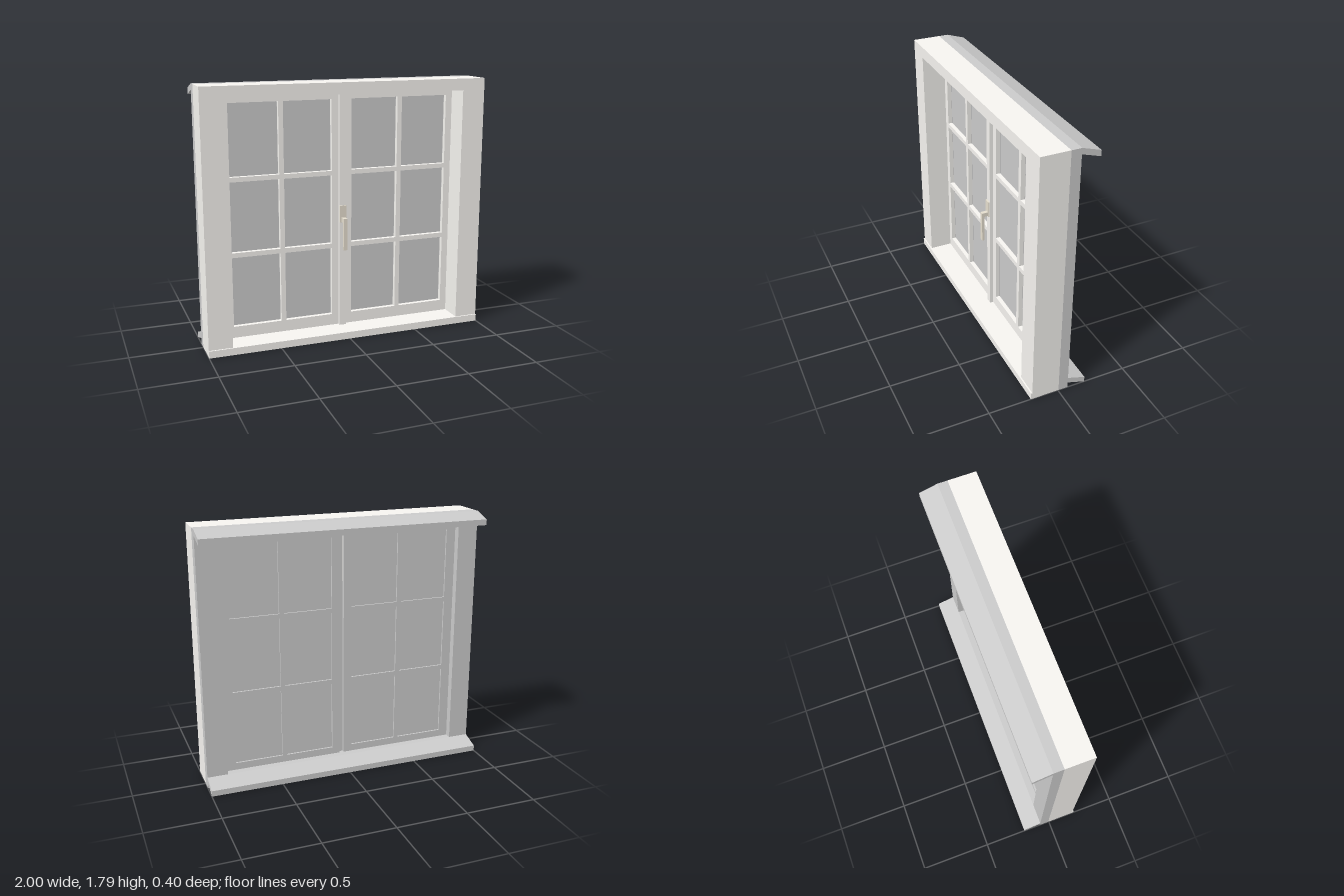
import * as THREE from 'three';

const white = new THREE.MeshStandardMaterial({ color: 0xf7f5f1 });
const grey = new THREE.MeshStandardMaterial({ color: 0xcccccc });
const metal = new THREE.MeshStandardMaterial({ color: 0xe6dfcf });

const SPLIT = -0.005; // depth where the inner white meets the outer grey

// Corner loop of a rectangle
function corners([x0, x1, y0, y1]) {
  return [[x0, y0], [x1, y0], [x1, y1], [x0, y1]].map(([x, y]) => new THREE.Vector2(x, y));
}

// Flat panel from z0 to z1 with rectangular openings
function panel(name, material, outer, openings, z0, z1) {
  const shape = new THREE.Shape(corners(outer));
  for (const o of openings) shape.holes.push(new THREE.Path(corners(o)));
  const geometry = new THREE.ExtrudeGeometry(shape, { depth: z1 - z0, bevelEnabled: false });
  geometry.translate(0, 0, z0);
  const mesh = new THREE.Mesh(geometry, material);
  mesh.name = name;
  return mesh;
}

function box(name, material, x0, x1, y0, y1, z0, z1) {
  const mesh = new THREE.Mesh(new THREE.BoxGeometry(x1 - x0, y1 - y0, z1 - z0), material);
  mesh.position.set((x0 + x1) / 2, (y0 + y1) / 2, (z0 + z1) / 2);
  mesh.name = name;
  return mesh;
}

// Side profile of [z, y] points swept across the full width
function sweep(name, material, profile) {
  const shape = new THREE.Shape(profile.map(([z, y]) => new THREE.Vector2(-z, y)));
  const geometry = new THREE.ExtrudeGeometry(shape, { depth: 2, bevelEnabled: false });
  geometry.translate(0, 0, -1).rotateY(Math.PI / 2);
  const mesh = new THREE.Mesh(geometry, material);
  mesh.name = name;
  return mesh;
}

// One casement: white inside, grey outside, six panes
function createSash(side) {
  const sash = new THREE.Group();
  sash.name = side > 0 ? 'leftSash' : 'rightSash';
  const span = (a, b) => (side > 0 ? [a, b] : [-b, -a]);
  const panes = [];
  for (const [a, b] of [[0.072, 0.414], [0.447, 0.788]])
    for (const [y0, y1] of [[0.13, 0.622], [0.655, 1.142], [1.174, 1.665]])
      panes.push([...span(a, b), y0, y1]);
  const outer = [...span(0.015, 0.857), 0.045, 1.735];
  sash.add(
    panel('sashInside', white, outer, panes, SPLIT, 0.025),
    panel('sashOutside', grey, outer, panes, -0.025, SPLIT),
  );
  for (const [x0, x1, y0, y1] of panes)
    sash.add(box('glassPane', grey, x0, x1, y0, y1, -0.013, -0.007));
  return sash;
}

export function createModel() {
  const group = new THREE.Group();
  group.name = 'window';

  // Inner lining and outer frame
  group.add(
    panel('innerFrame', white, [-1, 1, 0, 1.79], [[-0.835, 0.835, 0.05, 1.71]], SPLIT, 0.19),
    panel('outerFrame', grey, [-1, 1, 0, 1.79], [[-0.855, 0.855, 0.08, 1.73]], -0.073, SPLIT),
    box('innerSill', white, -1, 1, 0, 0.05, 0.19, 0.2),
  );

  // Sloping sill and canopy on the outside
  for (const [name, y] of [['outerSill', 0.08], ['canopy', 1.79]])
    group.add(sweep(name, grey, [[-0.073, y], [-0.073, y - 0.04], [-0.2, y - 0.08], [-0.2, y - 0.04]]));

  // Casements and the strip covering their joint
  for (const side of [1, -1]) group.add(createSash(side));
  group.add(
    box('meetingStrip', white, -0.024, 0.024, 0.05, 1.71, 0.0, 0.05),
    box('jointFiller', grey, -0.015, 0.015, 0.05, 1.73, -0.004, 0.0),
  );

  // Handle
  const handle = new THREE.Group();
  handle.name = 'handle';
  handle.add(
    box('handlePlate', metal, -0.025, 0.022, 0.81, 0.93, 0.05, 0.06),
    box('handleNeck', metal, -0.014, 0.014, 0.815, 0.845, 0.06, 0.09),
    box('handleLever', metal, -0.014, 0.014, 0.62, 0.845, 0.088, 0.105),
  );
  group.add(handle);
  return group;
}
